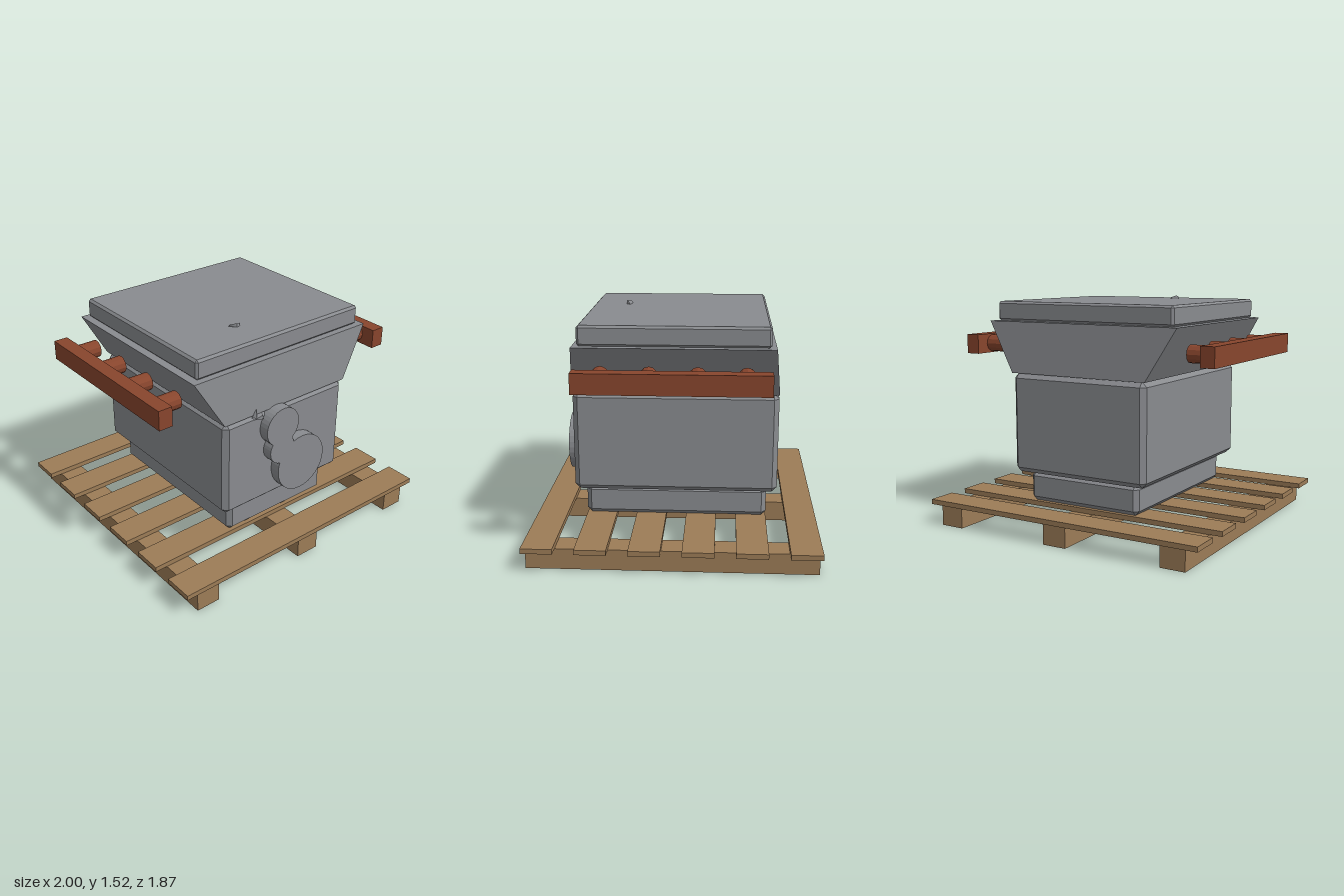
import * as THREE from 'three';
import { ConvexGeometry } from 'three/addons/geometries/ConvexGeometry.js';

const mat = (name, color) => new THREE.MeshStandardMaterial({ name, color, flatShading: true });
const V = (x, y, z) => new THREE.Vector3(x, y, z);

// Box with every edge chamfered by c, standing between y0 and y1
function chamferBox(hx, hz, y0, y1, c) {
  const points = [], hy = (y1 - y0) / 2, my = (y0 + y1) / 2;
  for (const sx of [-1, 1]) for (const sy of [-1, 1]) for (const sz of [-1, 1]) {
    points.push(
      V(sx * hx, my + sy * (hy - c), sz * (hz - c)),
      V(sx * (hx - c), my + sy * hy, sz * (hz - c)),
      V(sx * (hx - c), my + sy * (hy - c), sz * hz));
  }
  return new ConvexGeometry(points);
}

// Four-sided funnel between two rectangles
function funnel(bx, bz, y0, tx, tz, y1) {
  const points = [];
  for (const sx of [-1, 1]) for (const sz of [-1, 1]) {
    points.push(V(sx * bx, y0, sz * bz), V(sx * tx, y1, sz * tz));
  }
  return new ConvexGeometry(points);
}

export function createModel() {
  const model = new THREE.Group();
  model.name = 'hopperMachine';
  const steel = mat('steelGrey', 0x898b8f);
  const wood = mat('palletWood', 0x9c7c57);
  const rust = mat('rustRed', 0x88452d);

  const add = (name, geometry, material, x = 0, y = 0, z = 0, parent = model) => {
    const mesh = new THREE.Mesh(geometry, material);
    mesh.name = name;
    mesh.position.set(x, y, z);
    parent.add(mesh);
    return mesh;
  };

  // Pallet: three runners under six slats
  const pallet = new THREE.Group();
  pallet.name = 'pallet';
  model.add(pallet);
  for (const x of [-0.833, 0, 0.833]) {
    add('palletRunner', new THREE.BoxGeometry(0.167, 0.137, 1.84), wood, x, 0.0685, 0, pallet);
  }
  for (let i = 0; i < 6; i++) {
    add('palletSlat', new THREE.BoxGeometry(2, 0.033, 0.2), wood, 0, 0.1535, (i - 2.5) * 0.333, pallet);
  }

  // Machine housing
  add('base', chamferBox(0.415, 0.6, 0.17, 0.37, 0.03), steel);
  add('body', chamferBox(0.5, 0.665, 0.37, 1.035, 0.033), steel);
  add('hopper', funnel(0.5, 0.665, 1.035, 0.7, 0.63, 1.37), steel);
  add('lid', chamferBox(0.66, 0.6, 1.37, 1.5, 0.015), steel);

  // Drive cover on the front: three overlapping discs
  const cover = new THREE.Group();
  cover.name = 'driveCover';
  model.add(cover);
  for (const [x, y, r] of [[-0.087, 0.916, 0.133], [-0.087, 0.752, 0.1], [0.083, 0.588, 0.199]]) {
    const disc = new THREE.CylinderGeometry(r, r, 0.09, 32).rotateX(Math.PI / 2);
    add('coverDisc', disc, steel, x, y, 0.69, cover);
  }

  // Side rails, each on four round pegs
  for (const s of [-1, 1]) {
    const rail = new THREE.Group();
    rail.name = s > 0 ? 'leftRail' : 'rightRail';
    model.add(rail);
    add('railBar', new THREE.BoxGeometry(0.095, 0.13, 1.2), rust, s * 0.885, 1.203, 0, rail);
    for (let i = 0; i < 4; i++) {
      const peg = new THREE.CylinderGeometry(0.057, 0.057, 0.14, 12).rotateZ(Math.PI / 2);
      add('railPeg', peg, rust, s * 0.77, 1.203, (i - 1.5) * 0.3, rail);
    }
  }

  // Small lid tab
  add('lidTab', new ConvexGeometry([
    V(-0.21, 1.495, 0.33), V(-0.135, 1.495, 0.345), V(-0.145, 1.495, 0.37), V(-0.175, 1.495, 0.378),
    V(-0.205, 1.515, 0.345), V(-0.14, 1.51, 0.355), V(-0.175, 1.524, 0.372),
  ]), steel);

  // Small pointed latch beside the drive cover
  add('latchFoot', new ConvexGeometry([
    V(-0.29, 1.02, 0.66), V(-0.21, 1.0, 0.66), V(-0.21, 1.04, 0.66),
    V(-0.28, 1.01, 0.68), V(-0.215, 1.0, 0.69), V(-0.22, 1.03, 0.69),
  ]), steel);
  add('latchPoint', new ConvexGeometry([
    V(-0.285, 1.02, 0.66), V(-0.25, 1.02, 0.66), V(-0.265, 1.02, 0.685), V(-0.257, 1.08, 0.67),
  ]), steel);

  return model;
}
